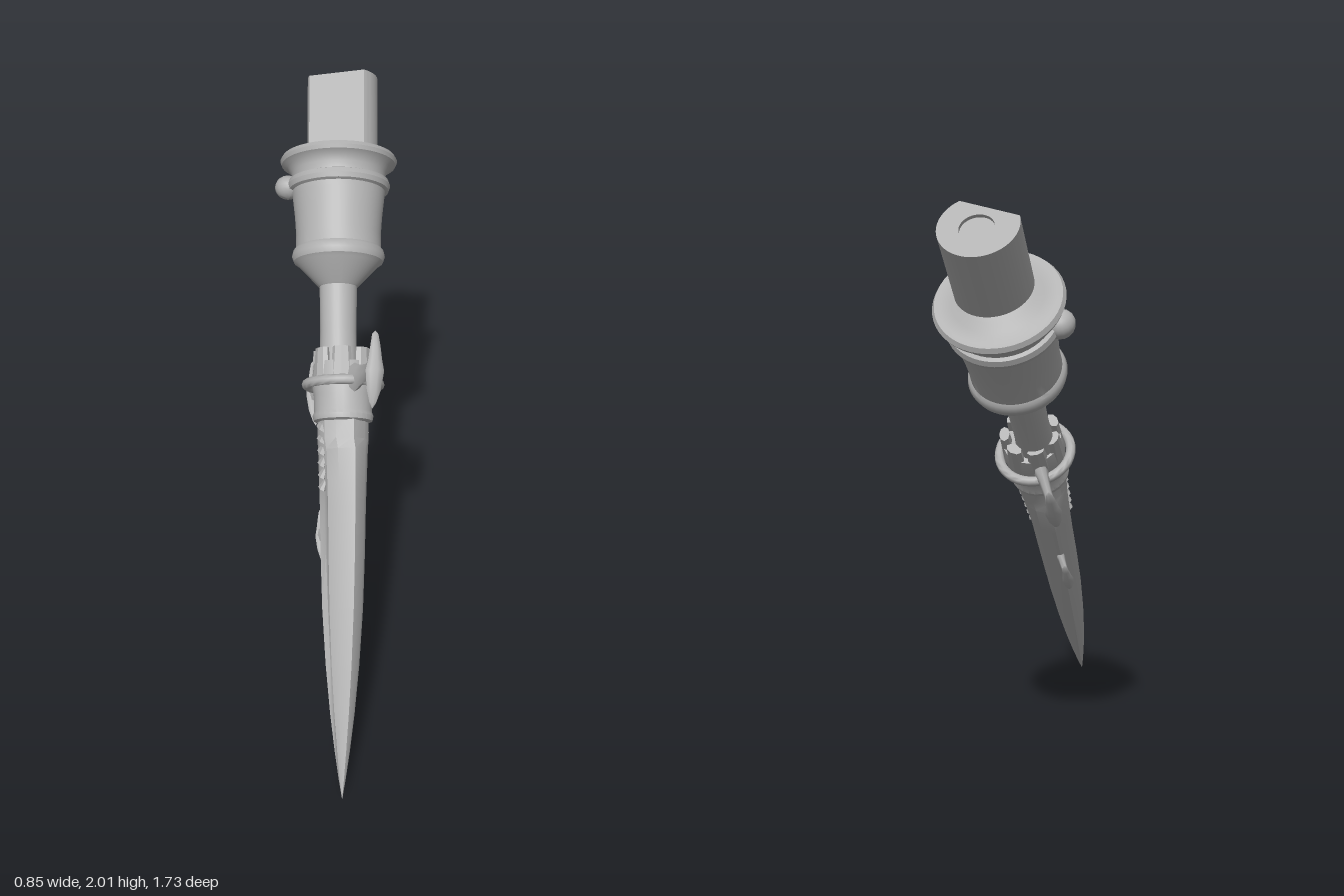
import * as THREE from 'three';
import { toCreasedNormals } from 'three/addons/utils/BufferGeometryUtils.js';

const steel = new THREE.MeshStandardMaterial({ color: 0xb0b0b0 });
steel.name = 'grey steel';

const TURN = 0.39; // angle of the blade and barb plane about the long axis

function add(parent, name, geometry, crease = 0.6) {
  const mesh = new THREE.Mesh(toCreasedNormals(geometry, crease), steel);
  mesh.name = name;
  parent.add(mesh);
  return mesh;
}

const lathe = (profile, segments = 40) =>
  new THREE.LatheGeometry(profile.map(([r, y]) => new THREE.Vector2(r, y)), segments);

// Sideways bow of the blade towards its tip
const bow = (y) => -0.112 * Math.pow(Math.max(0, -y) / 1.465, 1.5);

// Blade lofted from fullered sections: [y, half thickness, half width, groove depth]
function bladeGeometry() {
  const rows = [
    [-0.08, 0.09, 0.1, 0], [-0.2, 0.09, 0.1, 0], [-0.24, 0.085, 0.114, 0],
    [-0.36, 0.08, 0.116, 0.05], [-0.44, 0.077, 0.115, 0.15], [-0.6, 0.074, 0.112, 0.2],
    [-0.8, 0.068, 0.102, 0.25], [-1.0, 0.056, 0.083, 0.25], [-1.17, 0.041, 0.059, 0.2],
    [-1.3, 0.026, 0.036, 0.12], [-1.4, 0.012, 0.016, 0], [-1.468, 0.0008, 0.001, 0],
  ];
  const c = Math.cos(TURN), s = Math.sin(TURN);
  const pos = [], index = [];
  let n = 0;
  rows.forEach(([y, t, w, g], i) => {
    const side = [[0.62, 0.7], [0.95, 0.34], [1 - g, 0.12], [1 - g, -0.12], [0.95, -0.34], [0.62, -0.7]];
    const ring = [[0, 1], ...side, [0, -1], ...side.map(([x, z]) => [-x, z]).reverse()];
    n = ring.length;
    for (const [px, pz] of ring) {
      const x = px * t, z = pz * w;
      pos.push(x * c + z * s, y, z * c - x * s + bow(y));
    }
    if (i === 0) return;
    for (let k = 0; k < n; k++) {
      const a = (i - 1) * n + k, b = (i - 1) * n + ((k + 1) % n);
      index.push(a, a + n, b, b, a + n, b + n);
    }
  });
  const geometry = new THREE.BufferGeometry();
  geometry.setAttribute('position', new THREE.Float32BufferAttribute(pos, 3));
  geometry.setIndex(index);
  return geometry;
}

// Barb: a pointed crossbar held out on a flared stem
function barb(parent, name, { y, radius, root, length, size, flip }) {
  const group = new THREE.Group();
  group.name = name;
  group.rotation.y = TURN + (flip ? Math.PI : 0);
  group.position.set(0, y, bow(y));
  parent.add(group);

  const bar = lathe([[0, -0.5], [0.35, -0.43], [0.75, -0.27], [1, -0.02], [0.75, 0.12], [0.55, 0.3], [0.35, 0.45], [0, 0.5]], 8);
  bar.scale(size, length, size * 0.75);
  const p = bar.attributes.position;
  for (let i = 0; i < p.count; i++) {
    const v = p.getY(i) / length;
    p.setZ(i, p.getZ(i) - 0.16 * length * v * v + 0.1 * length * v);
  }
  add(group, name + ' crossbar', bar, 0.9).position.z = radius;

  const span = radius - root;
  const stem = lathe([[size * 1.2, 0], [size * 0.8, span * 0.3], [size * 0.65, span * 0.65], [size * 1.1, span]], 8);
  stem.scale(0.75, 1, 1.3);
  stem.rotateX(Math.PI / 2);
  add(group, name + ' stem', stem, 0.9).position.z = root;
}

export function createModel() {
  const model = new THREE.Group();
  model.name = 'dagger';

  // Tilted frame: local y runs up the handle, local origin is at the collar
  const body = new THREE.Group();
  body.name = 'tilted body';
  const up = new THREE.Vector3(-0.28, 0.706, -0.65).normalize();
  const right = new THREE.Vector3(0.92, 0, -0.395).normalize();
  right.addScaledVector(up, -right.dot(up)).normalize();
  const front = new THREE.Vector3().crossVectors(right, up);
  body.quaternion.setFromRotationMatrix(new THREE.Matrix4().makeBasis(right, up, front));
  body.position.set(0.04, 1.11, -0.02);
  model.add(body);

  add(body, 'blade', bladeGeometry(), 0.45);

  // Row of slanted scales on each face of the blade
  for (const side of [-1, 1]) {
    const row = new THREE.Group();
    row.name = 'blade scales';
    row.rotation.y = TURN;
    for (let i = 0; i < 6; i++) {
      const y = -0.14 - i * 0.043;
      const scale = add(row, 'scale', new THREE.ConeGeometry(0.026, 0.055, 6), 0.5);
      scale.scale.set(0.5, 1, 1.4 - i * 0.1);
      scale.position.set(side * (0.08 - i * 0.002), y, 0.012 + bow(y));
      scale.rotation.set(0.5, 0, side * 0.2);
    }
    body.add(row);
  }

  // Collar with its guard ring and upright tabs
  add(body, 'collar', lathe([
    [0.08, -0.14], [0.106, -0.133], [0.11, -0.115], [0.104, -0.1], [0.106, -0.04],
    [0.114, 0.005], [0.106, 0.075], [0.06, 0.085],
  ], 28));
  const guard = new THREE.TorusGeometry(0.132, 0.018, 10, 40);
  guard.rotateX(Math.PI / 2);
  add(body, 'guard ring', guard, 1).position.y = 0;
  for (let i = 0; i < 7; i++) {
    const a = TURN + (i + 0.5) * Math.PI * 2 / 7;
    const tab = add(body, 'collar tab', new THREE.CylinderGeometry(0.032, 0.042, 0.13, 8));
    tab.position.set(Math.sin(a) * 0.092, 0.06, Math.cos(a) * 0.092);
    tab.rotation.y = a;
    tab.scale.z = 0.6;
  }

  barb(body, 'front barb', { y: 0.012, radius: 0.285, root: 0.1, length: 0.27, size: 0.035, flip: false });
  barb(body, 'rear barb', { y: 0.012, radius: 0.29, root: 0.1, length: 0.255, size: 0.031, flip: true });
  barb(body, 'blade barb', { y: -0.53, radius: 0.21, root: 0.08, length: 0.2, size: 0.023, flip: true });

  // Handle, set slightly back so it continues the bow of the blade
  const handle = new THREE.Group();
  handle.name = 'handle';
  handle.position.set(-0.018, 0, -0.022);
  body.add(handle);
  add(handle, 'shaft', lathe([[0.07, 0.02], [0.066, 0.2], [0.069, 0.38]], 28));
  add(handle, 'pommel', lathe([
    [0.06, 0.362], [0.073, 0.369], [0.15, 0.45], [0.164, 0.46], [0.171, 0.48], [0.166, 0.5], [0.157, 0.51],
    [0.156, 0.56], [0.161, 0.63], [0.169, 0.7], [0.172, 0.725], [0.185, 0.73], [0.191, 0.747],
    [0.185, 0.765], [0.172, 0.77], [0.175, 0.795], [0.19, 0.817], [0.211, 0.828], [0.217, 0.842],
    [0.208, 0.857], [0.19, 0.857], [0.15, 0.862], [0.125, 0.88], [0.06, 0.89],
  ], 48));

  // Rounded lug on one side of the pommel
  const lug = add(handle, 'pommel lug', new THREE.SphereGeometry(0.044, 16, 12), 1);
  lug.position.set(-0.188, 0.747, -0.008);
  lug.scale.set(1.1, 1, 1.2);

  // D-section end block with a shallow round recess
  const r = 0.13, flat = Math.asin(0.077 / r);
  const section = new THREE.Shape();
  section.absarc(0, 0, r, -flat, Math.PI + flat, false);
  section.closePath();
  const hole = new THREE.Path();
  hole.absarc(0, 0.01, 0.056, 0, Math.PI * 2, true);
  section.holes.push(hole);
  const block = new THREE.ExtrudeGeometry(section, { depth: 0.312, bevelEnabled: false, curveSegments: 28 });
  block.rotateX(-Math.PI / 2);
  const end = new THREE.Group();
  end.name = 'end block';
  end.rotation.y = -0.3;
  end.position.set(0.014, 0.84, 0.027);
  add(end, 'block', block);
  const floor = add(end, 'recess floor', new THREE.CylinderGeometry(0.058, 0.058, 0.3, 24));
  floor.position.set(0, 0.15, -0.01);
  handle.add(end);

  return model;
}
